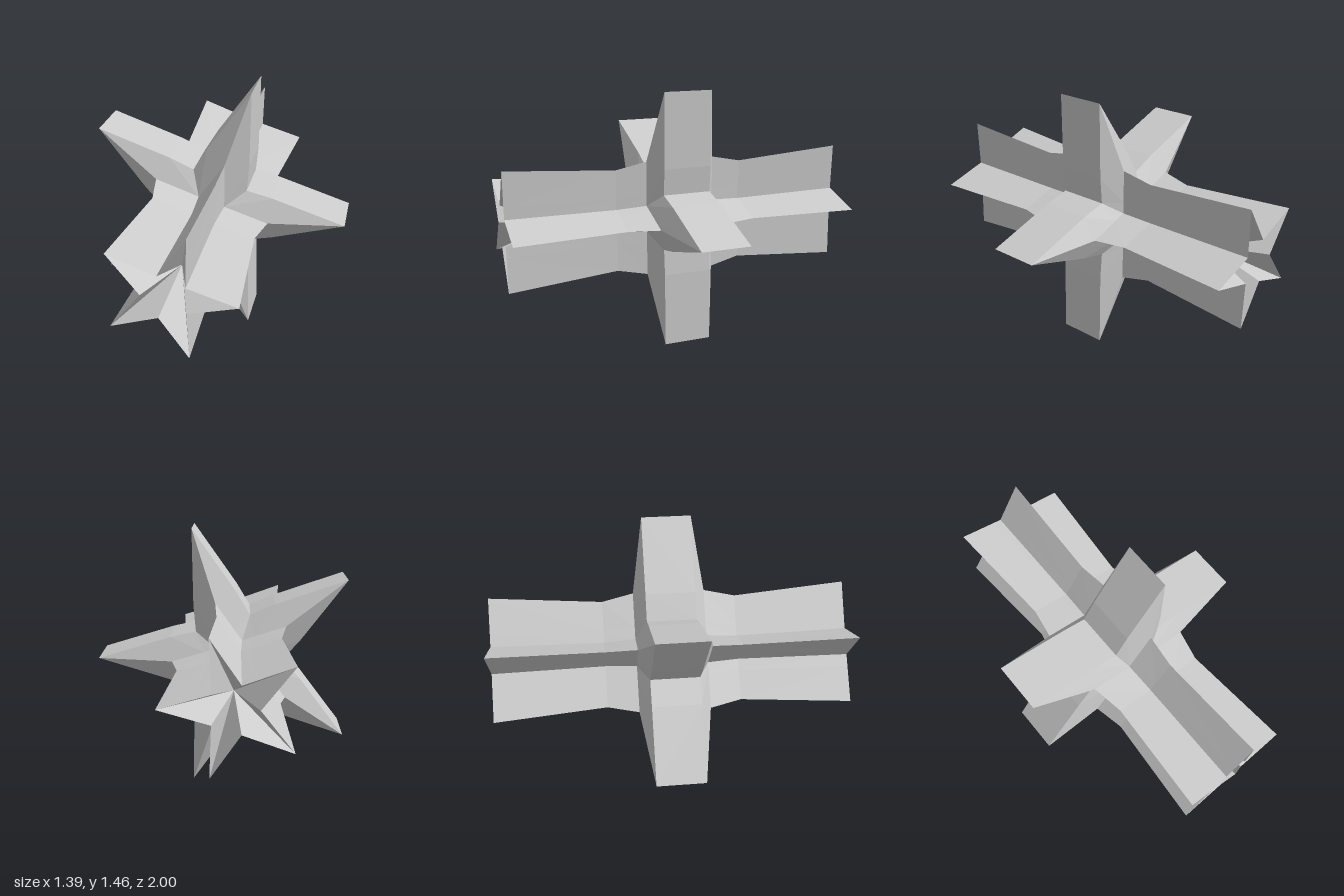
import * as THREE from 'three';

const CX = -0.075, CY = 0.74, ARMS = 5, STEP = Math.PI / ARMS;

// Star outline, counter-clockwise: tip, flank, valley, flank for each arm
function starRing(tip, valley, bulge, z) {
  const at = (r, a) => new THREE.Vector3(CX + r * Math.cos(a), CY + r * Math.sin(a), z);
  const corners = [];
  for (let k = 0; k < ARMS * 2; k++) corners.push(at(k % 2 ? valley : tip, k * STEP));
  const ring = [];
  corners.forEach((p, k) => {
    const q = corners[(k + 1) % corners.length];
    const flank = p.clone().lerp(q, k % 2 ? 0.26 : 0.74);
    const out = new THREE.Vector3(q.y - p.y, p.x - q.x, 0).normalize();
    ring.push(p, flank.addScaledVector(out, bulge));
  });
  return ring;
}

// Skin between successive rings, ordered from front to back
function loft(rings) {
  const pos = [];
  const tri = (...pts) => pts.forEach((p) => pos.push(p.x, p.y, p.z));
  for (let i = 0; i < rings.length - 1; i++) {
    const n = rings[i].length;
    for (let j = 0; j < n; j++) {
      const k = (j + 1) % n;
      const a = rings[i][j], b = rings[i][k], c = rings[i + 1][j], d = rings[i + 1][k];
      // diagonals mirror across each arm
      if (j % 4 < 2) { tri(a, c, b); tri(b, c, d); }
      else { tri(a, c, d); tri(a, d, b); }
    }
  }
  const g = new THREE.BufferGeometry();
  g.setAttribute('position', new THREE.Float32BufferAttribute(pos, 3));
  g.computeVertexNormals();
  return g;
}

export function createModel() {
  const group = new THREE.Group();
  group.name = 'starCross';
  const material = new THREE.MeshStandardMaterial({ color: 0xcccccc, flatShading: true });

  // [tip radius, valley radius, flank bulge, z]
  const end = [0.36, 0.127, 0, 1];
  const neck = [0.31, 0.112, 0, 0.375];
  const root = [0.35, 0.13, 0, 0.2];
  const rim = [0.77, 0.27, 0.008, 0.137];
  const hollow = [0, 0, 0, 0.7];
  const back = ([t, v, b, z]) => [t, v, b, -z];
  const add = (name, sections) => {
    const mesh = new THREE.Mesh(loft(sections.map((s) => starRing(...s))), material);
    mesh.name = name;
    group.add(mesh);
  };

  // Beams with hollowed star ends, and the wide star around the middle
  add('frontBeam', [hollow, end, neck, root]);
  add('centralStar', [root, rim, back(rim), back(root)]);
  add('backBeam', [root, neck, end, hollow].map(back));
  return group;
}
